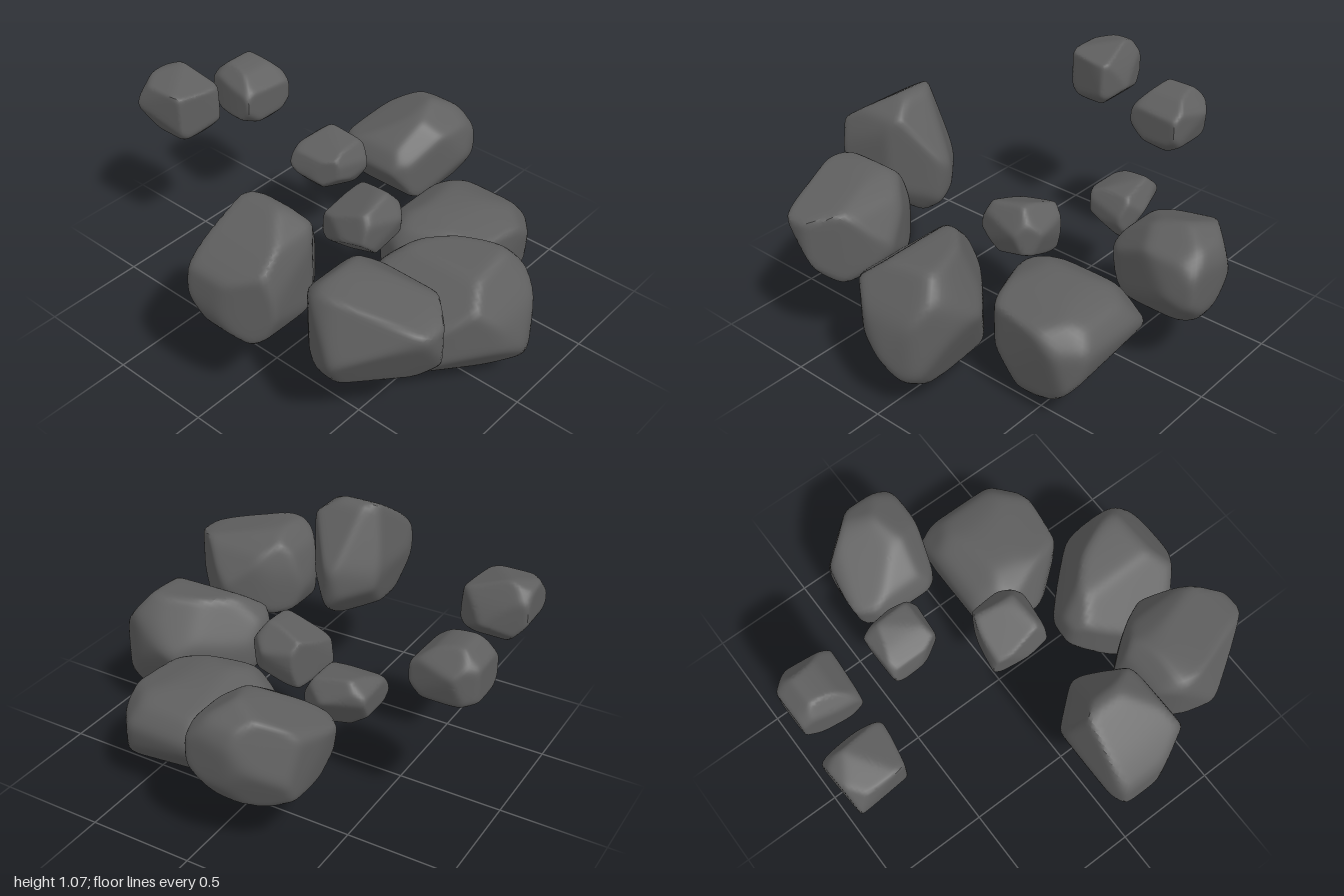
import * as THREE from 'three';
import { mergeVertices, toCreasedNormals } from 'three/addons/utils/BufferGeometryUtils.js';

const material = new THREE.MeshStandardMaterial({ color: 0x5f5f5f });
const SHARPNESS = 32; // higher gives tighter bevels between the facets
const BEVEL_LOSS = 1.018; // makes up for the little that the bevels take off

// Turns the edges of an outline drawn in axes u, v into cutting planes around the centre.
function outlinePlanes(points, u, v, centre) {
  return points.map(([a, b], i) => {
    const [c, d] = points[(i + 1) % points.length];
    const n = new THREE.Vector3();
    n[u] = d - b;
    n[v] = a - c;
    const h = n[u] * (a - centre[u]) + n[v] * (b - centre[v]);
    return n.divideScalar(h);
  });
}

// A boulder is a ball cut down to its front (x,y), side (z,y) and top (x,z) outlines,
// then by slanted facets, each given as a normal and a distance from the origin.
function boulder(name, front, side, top, facets = []) {
  const box = new THREE.Box3();
  for (const [x, y] of front) for (const [z] of side) box.expandByPoint(new THREE.Vector3(x, y, z));
  const centre = box.getCenter(new THREE.Vector3());
  const size = box.getSize(new THREE.Vector3());
  const planes = [
    ...outlinePlanes(front, 'x', 'y', centre),
    ...outlinePlanes(side, 'z', 'y', centre),
    ...outlinePlanes(top, 'x', 'z', centre),
  ];
  for (const [x, y, z, distance] of facets) {
    const n = new THREE.Vector3(x, y, z);
    planes.push(n.divideScalar(distance - n.dot(centre)));
  }
  // Chamfers across the eight corners
  for (const sx of [-1, 1]) for (const sy of [-1, 1]) for (const sz of [-1, 1]) {
    planes.push(new THREE.Vector3(sx / size.x, sy / size.y, sz / size.z));
  }

  let geo = new THREE.IcosahedronGeometry(1, 17);
  geo.deleteAttribute('uv');
  geo.deleteAttribute('normal');
  geo = mergeVertices(geo, 1e-4);
  const pos = geo.attributes.position;
  const dir = new THREE.Vector3();
  for (let i = 0; i < pos.count; i++) {
    dir.fromBufferAttribute(pos, i).normalize();
    let sum = 0;
    for (const n of planes) sum += Math.max(0, n.dot(dir)) ** SHARPNESS;
    dir.multiplyScalar(BEVEL_LOSS * sum ** (-1 / SHARPNESS)).add(centre);
    pos.setXYZ(i, dir.x, dir.y, dir.z);
  }

  const mesh = new THREE.Mesh(toCreasedNormals(geo, 0.7), material);
  mesh.name = name;
  return mesh;
}

export function createModel() {
  const group = new THREE.Group();
  group.name = 'floatingBoulders';
  group.add(
    // Five large boulders in an arc
    boulder('tallBoulder',
      [[-.62, 1.04], [-.57, 1.02], [-.46, .85], [-.38, .72], [-.41, .52], [-.55, .43], [-.8, .44], [-.93, .56], [-.96, .66], [-.94, .82], [-.85, .9], [-.71, .99]],
      [[.16, 1.04], [-.02, 1.04], [-.04, .94], [-.08, .73], [-.03, .5], [.15, .44], [.3, .55], [.36, .7], [.34, .81], [.29, .95]],
      [[-.79, -.1], [-.53, -.07], [-.38, .11], [-.4, .16], [-.58, .31], [-.84, .35], [-.96, .13], [-.96, -.04]],
      [[.69, .3, -.66, -.116], [.5, -.62, -.6, -.616], [.5, -.44, .75, -.323]]),
    boulder('frontRightBoulder',
      [[-.73, .82], [-.56, .84], [-.45, .82], [-.34, .75], [-.23, .58], [-.26, .52], [-.38, .41], [-.73, .4], [-.82, .55], [-.77, .72]],
      [[.93, .73], [.86, .76], [.46, .84], [.36, .75], [.3, .57], [.35, .45], [.5, .4], [.8, .41], [.93, .54]],
      [[-.53, .3], [-.45, .31], [-.33, .45], [-.24, .63], [-.28, .71], [-.48, .92], [-.58, .92], [-.79, .69], [-.81, .6], [-.74, .44], [-.63, .33]],
      [[-.84, .38, .37, 1.121], [-.61, -.43, .67, .668], [.72, .25, -.64, -.364]]),
    boulder('frontBoulder',
      [[-.17, .65], [.14, .69], [.21, .61], [.27, .46], [.19, .25], [.14, .13], [.06, .1], [-.25, .15], [-.39, .3], [-.38, .46]],
      [[1, .3], [.94, .49], [.78, .69], [.46, .69], [.31, .54], [.3, .35], [.5, .18], [.78, .11], [.94, .19]],
      [[-.14, .29], [-.02, .31], [.08, .4], [.27, .62], [.24, .79], [.16, .93], [.02, .99], [-.1, .95], [-.3, .78], [-.39, .65], [-.24, .4]],
      [[-.64, .77, .01, .576], [-.47, -.59, .66, .466], [.62, .41, -.67, -.04], [.79, .49, -.36, .195], [-.39, -.86, .33, .166]]),
    boulder('lowBoulder',
      [[.32, .54], [.55, .52], [.68, .47], [.75, .37], [.69, .16], [.34, .01], [.29, 0], [.16, .18], [.09, .35], [.16, .48]],
      [[.6, .46], [.35, .53], [.22, .54], [.07, .46], [.03, .38], [.06, .17], [.11, .05], [.43, 0], [.54, .09]],
      [[.19, .02], [.72, .05], [.75, .13], [.74, .49], [.61, .6], [.28, .55], [.08, .29], [.11, .19]],
      [[-.83, .47, .31, .168], [-.59, -.45, .67, .09], [.72, -.69, -.11, .297]]),
    boulder('leftBoulder',
      [[.78, .76], [.91, .69], [.96, .59], [.94, .41], [.86, .29], [.72, .3], [.52, .35], [.42, .51], [.47, .61], [.63, .72]],
      [[-.14, .76], [-.34, .7], [-.45, .58], [-.41, .34], [-.29, .29], [-.02, .33], [.07, .49], [.03, .65]],
      [[.52, -.46], [.88, -.39], [.95, -.19], [.93, .03], [.82, .07], [.48, -.03], [.41, -.11], [.43, -.34]],
      [[-.24, .91, -.35, .553], [.72, .25, -.64, .962], [.85, -.34, -.41, .721], [-.52, .61, .6, .063]]),
    // Four small stones trailing to the back
    boulder('middleStone',
      [[-.08, .67], [.1, .7], [.2, .58], [.15, .42], [0, .36], [-.14, .48]],
      [[-.05, .68], [.15, .7], [.23, .58], [.18, .42], [.04, .36], [-.1, .46]],
      [[-.08, -.09], [.08, -.06], [.18, -.02], [.2, .13], [.11, .23], [-.12, .19], [-.14, .11]],
      [[-.24, .91, -.35, .575], [.24, -.91, .35, -.335], [-.69, -.69, .21, -.25]]),
    boulder('innerStone',
      [[.24, .67], [.36, .7], [.43, .58], [.36, .45], [.2, .44], [.12, .53], [.15, .63]],
      [[-.42, .7], [-.5, .63], [-.49, .52], [-.4, .45], [-.25, .45], [-.19, .56], [-.25, .67]],
      [[.12, -.49], [.37, -.5], [.43, -.32], [.37, -.2], [.19, -.22], [.13, -.34]],
      [[-.34, -.7, .63, -.585], [.81, -.5, -.29, .145]]),
    boulder('backRightStone',
      [[-.14, 1.08], [-.08, .97], [-.05, .88], [-.17, .77], [-.31, .79], [-.37, .92], [-.34, 1.03]],
      [[-.9, 1.08], [-1, 1.04], [-1, .9], [-.9, .78], [-.75, .78], [-.68, .86], [-.7, 1.01]],
      [[-.37, -.98], [-.11, -1], [-.05, -.81], [-.12, -.69], [-.33, -.73], [-.36, -.9]]),
    boulder('backLeftStone',
      [[.14, .96], [.28, .96], [.37, .85], [.33, .71], [.24, .66], [.06, .72], [.05, .85]],
      [[-.88, .97], [-.97, .89], [-.97, .73], [-.74, .66], [-.67, .73], [-.67, .86], [-.77, .94]],
      [[.1, -.97], [.29, -.98], [.37, -.88], [.33, -.67], [.06, -.69], [.07, -.82]]),
  );
  return group;
}
